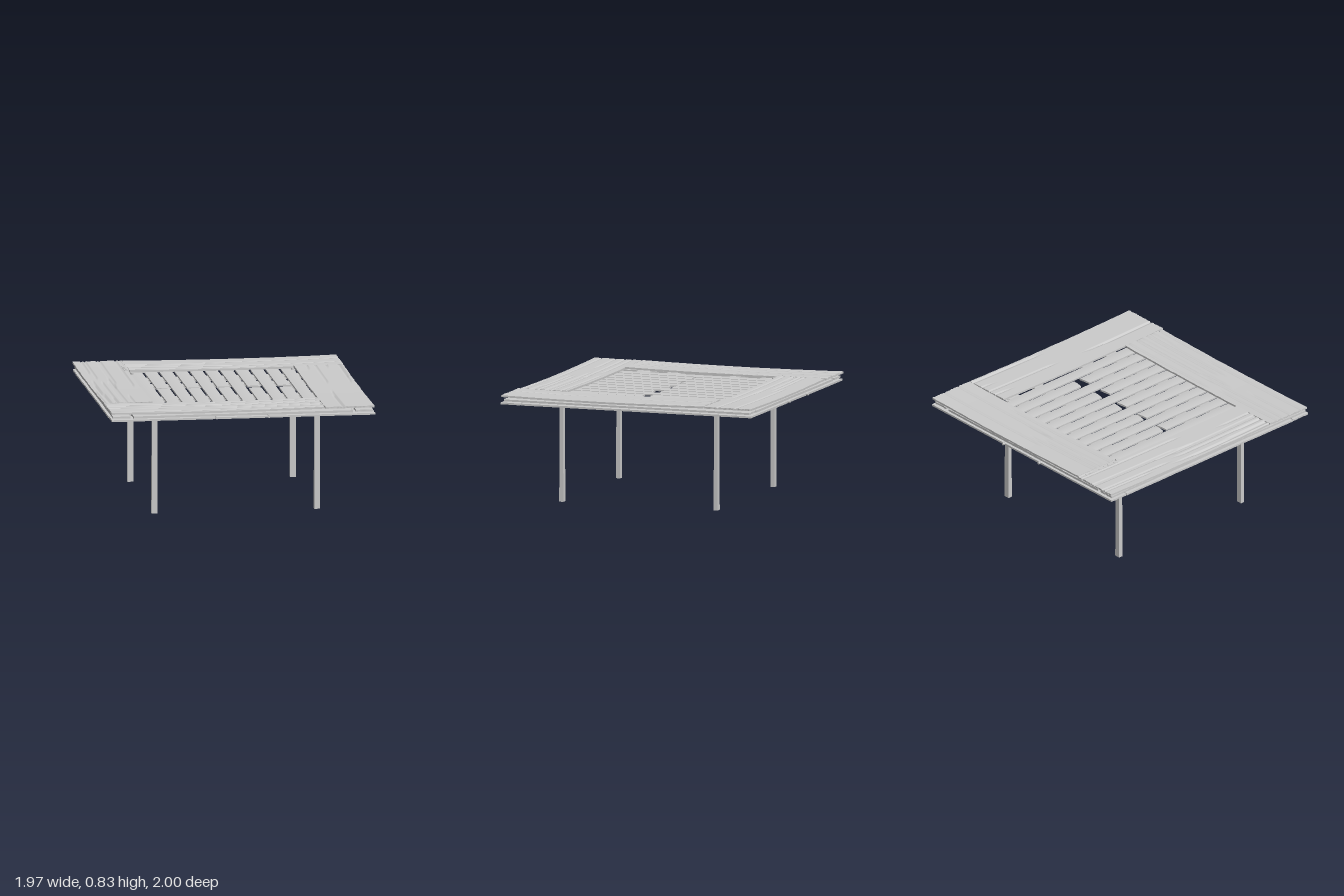
import * as THREE from 'three';

const wood = new THREE.MeshStandardMaterial({ color: 0xcccccc });

// repeatable value 0..1 from two numbers
const hash = (a, b) => {
  const s = Math.sin(a * 127.1 + b * 311.7) * 43758.5453;
  return s - Math.floor(s);
};

// weathered board: length runs along z (or x when alongX), bottom at y
function plank(name, x0, x1, z0, z1, y, thick, o = {}) {
  const { alongX = false, seed = 1, sag = 0, dome = 0, fray = 0, cracks = 0, slant = 0 } = o;
  const w = alongX ? z1 - z0 : x1 - x0;
  const l = alongX ? x1 - x0 : z1 - z0;
  const nx = cracks ? 40 : 6, nl = cracks ? 32 : 10;
  const geo = new THREE.BoxGeometry(w, thick, l, nx, 1, nl);
  const p = geo.attributes.position;
  for (let i = 0; i < p.count; i++) {
    let x = p.getX(i), h = p.getY(i), z = p.getZ(i);
    const u = (2 * x) / w, v = (2 * z) / l;
    const col = Math.round((u + 1) * nx / 2), row = Math.round((v + 1) * nl / 2);
    if (h > 0) {
      h -= dome * u * u;
      // cracks run with the grain, mostly from the ends inward
      if (col > 0 && col < nx && hash(col, seed) < cracks) {
        const end = hash(col, seed + 3) < 0.5 ? -1 : 1;
        if (v * end > 0.9 - 1.3 * hash(col, seed + 7)) h -= thick * 0.6;
      }
    }
    h += sag * v * v;
    // worn long edges and ragged ends
    if (col === 0 || col === nx) x -= Math.sign(u) * fray * 0.5 * hash(row, seed + col);
    if (row === 0 || row === nl) z -= Math.sign(v) * fray * hash(col, seed + row);
    if (row === (slant > 0 ? nl : 0)) z += slant * u;
    p.setXYZ(i, x, h, z);
  }
  geo.computeVertexNormals();
  if (alongX) geo.rotateY(Math.PI / 2);
  const mesh = new THREE.Mesh(geo, wood);
  mesh.name = name;
  mesh.position.set((x0 + x1) / 2, y + thick / 2, (z0 + z1) / 2);
  return mesh;
}

function peg(name, x, y, z, radius, length, alongZ = false) {
  const mesh = new THREE.Mesh(new THREE.CylinderGeometry(radius, radius, length, 6), wood);
  mesh.name = name;
  mesh.position.set(x, y, z);
  if (alongZ) mesh.rotation.x = Math.PI / 2;
  return mesh;
}

export function createModel() {
  const table = new THREE.Group();
  table.name = 'table';

  // four wide border boards laid in a pinwheel
  const border = (seed, alongX) => ({ seed, alongX, sag: 0.009, fray: 0.008, cracks: 0.28 });
  table.add(
    plank('leftBorderBoard', 0.61, 0.98, -0.61, 0.985, 0.806, 0.014, border(2, false)),
    plank('rightBorderBoard', -0.985, -0.62, -0.99, 0.6, 0.806, 0.014, border(5, false)),
    plank('frontBorderBoard', -0.985, 0.61, 0.6, 0.97, 0.805, 0.014, border(9, true)),
    plank('backBorderBoard', -0.62, 0.985, -0.98, -0.61, 0.805, 0.014, border(14, true)),
  );

  // raised strip and nails over the back right joint
  table.add(plank('jointStrip', -0.65, -0.615, -0.985, -0.615, 0.813, 0.013, { seed: 4 }));
  for (const z of [-0.92, -0.88, -0.79, -0.74, -0.7, -0.64])
    table.add(peg('nail', -0.637, 0.824, z, 0.008, 0.008));
  for (const x of [-0.6, 0.6]) table.add(peg('cornerPeg', x, 0.8, -0.58, 0.014, 0.03));

  // slats: every other one is split near the middle
  const splits = [[-0.02, 0.0], [-0.01, 0.01], [-0.02, 0.015], [-0.015, 0.055], [-0.015, 0.055]];
  const slats = new THREE.Group();
  slats.name = 'slats';
  for (let i = 0; i < 11; i++) {
    const x = -0.563 + i * 0.1127, a = x - 0.047, b = x + 0.047;
    const o = { seed: 20 + i, dome: 0.003 };
    if (i % 2 === 0) {
      slats.add(plank('slat', a, b, -0.64, 0.64, 0.79, 0.015, o));
    } else {
      const [back, front] = splits[(i - 1) / 2];
      slats.add(plank('backHalfSlat', a, b, -0.64, back, 0.79, 0.015, { ...o, slant: 0.006 }));
      slats.add(plank('frontHalfSlat', a, b, front, 0.64, 0.79, 0.015, { ...o, slant: -0.006 }));
    }
  }
  table.add(slats);

  // cross beams under the slats
  for (const [z, half] of [[-0.48, 0.05], [-0.23, 0.042], [0.255, 0.052], [0.49, 0.05]])
    table.add(plank('crossBeam', -0.85, 0.85, z - half, z + half, 0.764, 0.026,
      { alongX: true, seed: 40 + z, dome: 0.004 }));

  // lower frame in two layers, set under the border boards
  for (const s of [-1, 1]) {
    const edge = (name, inner, outer, halfLength, y, t, alongX) => {
      const lo = Math.min(s * inner, s * outer), hi = Math.max(s * inner, s * outer);
      const o = { alongX, seed: 60 + s, fray: 0.008 };
      table.add(alongX
        ? plank(name, -halfLength, halfLength, lo, hi, y, t, o)
        : plank(name, lo, hi, -halfLength, halfLength, y, t, o));
    };
    edge('lowerEndRail', 0.83, 0.985, 0.985, 0.761, 0.014, true);
    edge('lowerSideRail', 0.83, 0.985, 0.83, 0.761, 0.014, false);
    edge('upperEndRail', 0.84, 0.97, 0.82, 0.78, 0.016, true);
    edge('upperSideRail', 0.84, 0.97, 0.97, 0.783, 0.014, false);
    // bolts through the end rails
    for (const x of [-0.2, 0.19]) table.add(peg('bolt', x, 0.771, s * 0.9, 0.01, 0.2, true));
  }

  // slim legs, slightly wider at the foot
  for (const x of [-0.614, 0.598])
    for (const z of [-0.573, 0.641]) {
      const geo = new THREE.BoxGeometry(0.044, 0.805, 0.032, 1, 6, 1);
      const p = geo.attributes.position;
      for (let i = 0; i < p.count; i++) {
        const k = 0.95 - p.getY(i) * 0.12;
        p.setX(i, p.getX(i) * k);
        p.setZ(i, p.getZ(i) * k);
      }
      geo.computeVertexNormals();
      const leg = new THREE.Mesh(geo, wood);
      leg.name = 'leg';
      leg.position.set(x, 0.4025, z);
      table.add(leg);
    }
  return table;
}
